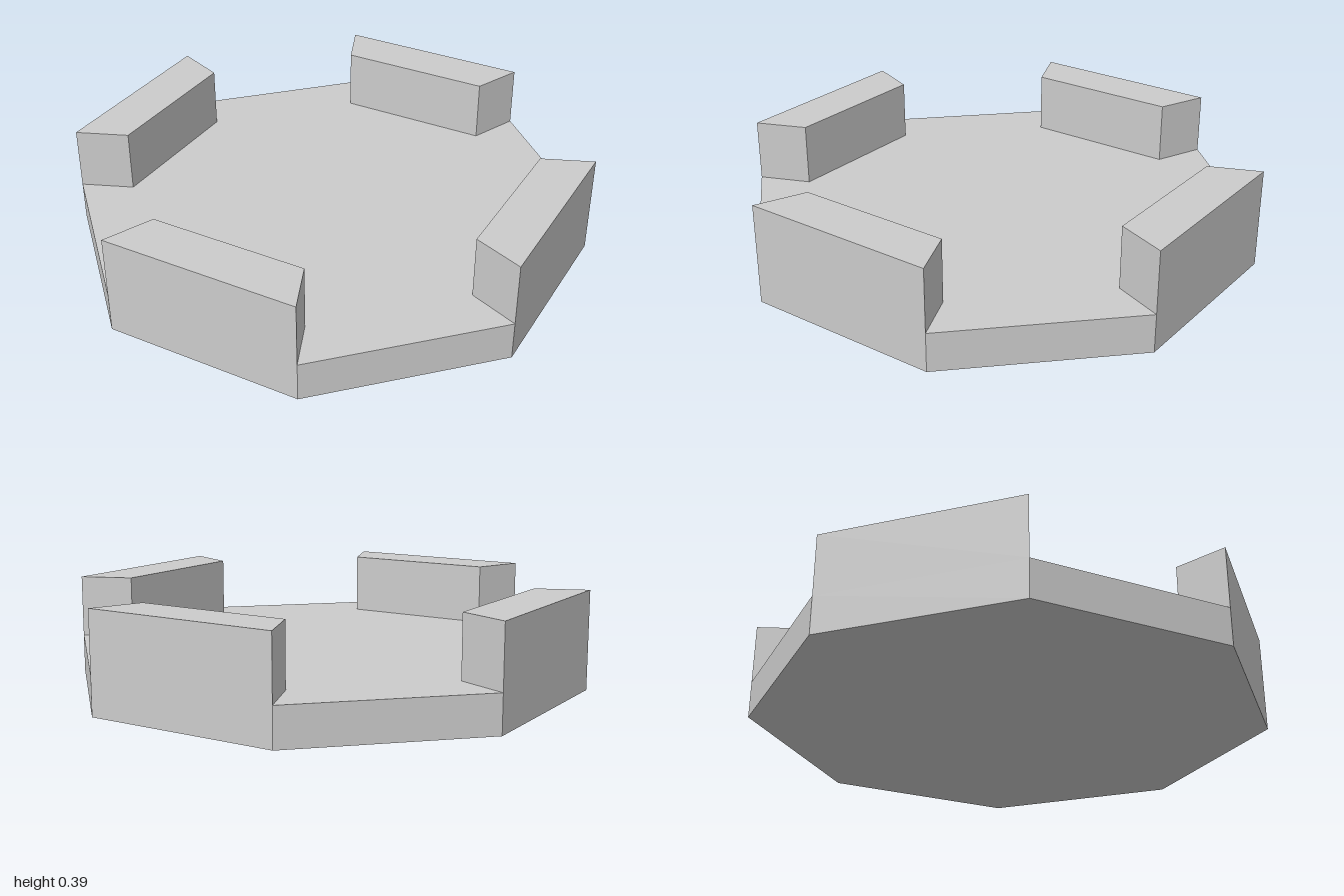
import * as THREE from 'three';

const BASE_HEIGHT = 0.147, TOTAL_HEIGHT = 0.385, INNER_RADIUS = 0.793;
const STEP = Math.PI / 4;

const corner = (radius, i) =>
  new THREE.Vector2(radius * Math.cos(i * STEP), radius * Math.sin(i * STEP));

// Upright prism from a ground outline, standing between two heights
function prism(points, bottom, top) {
  const geometry = new THREE.ExtrudeGeometry(new THREE.Shape(points), {
    depth: top - bottom, bevelEnabled: false,
  });
  return geometry.rotateX(-Math.PI / 2).translate(0, bottom, 0);
}

export function createModel() {
  const model = new THREE.Group();
  model.name = 'octagonalPlatform';
  const material = new THREE.MeshStandardMaterial({ color: 0xcccccc, flatShading: true });

  const add = (name, geometry) => {
    const mesh = new THREE.Mesh(geometry, material);
    mesh.name = name;
    model.add(mesh);
  };

  // Eight-sided floor slab
  const outline = Array.from({ length: 8 }, (_, i) => corner(1, i));
  add('floor', prism(outline, 0, BASE_HEIGHT));

  // Mitred wall on every other side
  for (let i = 0; i < 8; i += 2) {
    const footprint = [
      corner(INNER_RADIUS, i), corner(1, i),
      corner(1, i + 1), corner(INNER_RADIUS, i + 1),
    ];
    add(`wall${i / 2 + 1}`, prism(footprint, BASE_HEIGHT, TOTAL_HEIGHT));
  }
  return model;
}
